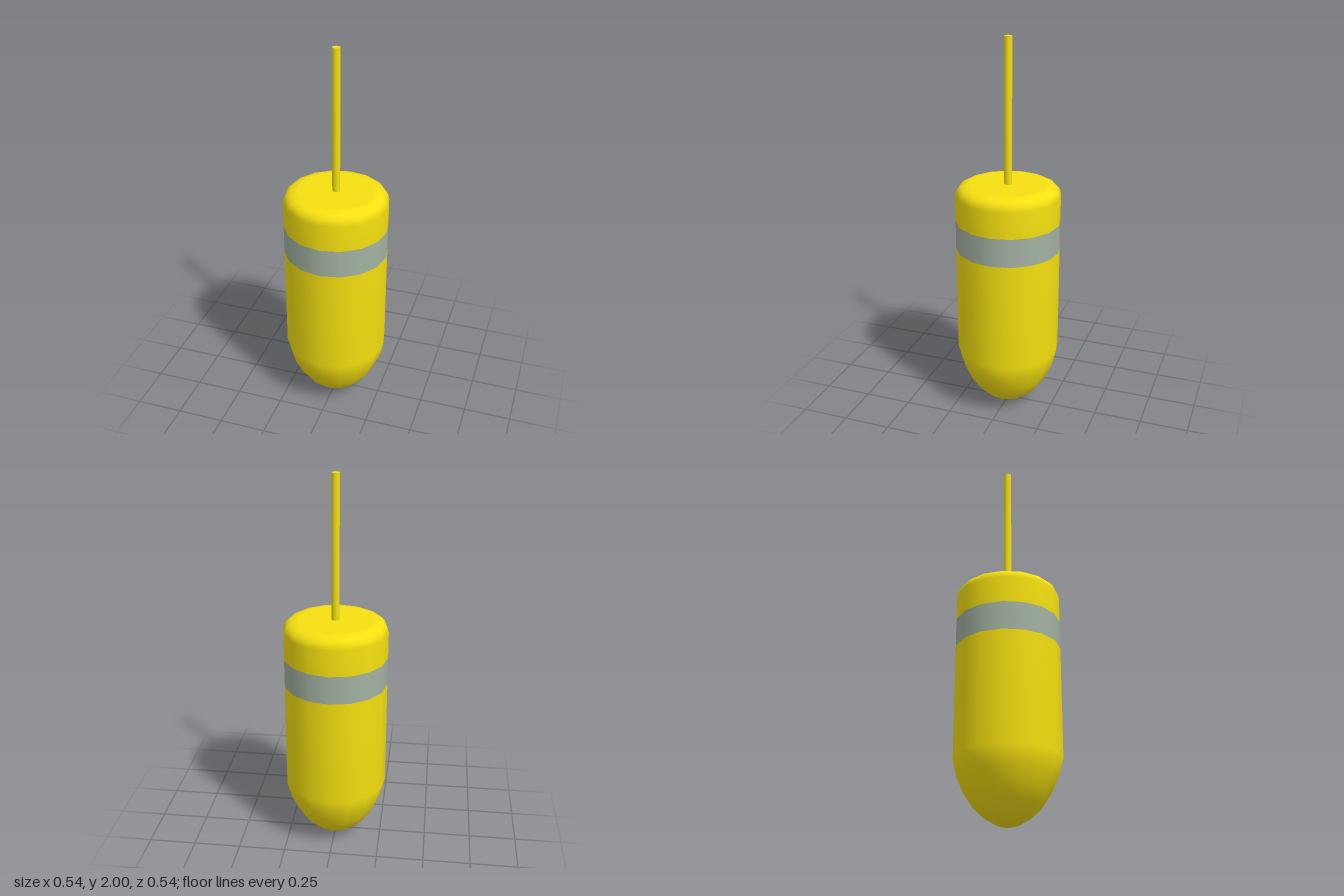
import * as THREE from 'three';

const SIDES = 16;
const R = 0.271;
const yellow = new THREE.MeshStandardMaterial({ color: 0xf5e010 });
const grey = new THREE.MeshStandardMaterial({ color: 0xa2b2a2 });

// Turned part from [radius, height] pairs, listed bottom to top
function turned(name, profile, material) {
  const points = profile.map(([r, y]) => new THREE.Vector2(r, y));
  const mesh = new THREE.Mesh(new THREE.LatheGeometry(points, SIDES), material);
  mesh.name = name;
  return mesh;
}

export function createModel() {
  const model = new THREE.Group();
  model.name = 'float';

  // Rounded, slightly pointed lower body
  model.add(turned('lowerBody', [
    [0, 0], [0.06, 0.018], [0.115, 0.05], [0.168, 0.1], [0.212, 0.165],
    [0.25, 0.25], [R, 0.335], [R, 0.91],
  ], yellow));

  // Painted band, flush with the body
  model.add(turned('band', [[R, 0.91], [R, 1.06]], grey));

  // Upper body with a rounded shoulder
  model.add(turned('upperBody', [
    [R, 1.06], [R, 1.2], [0.263, 1.226], [0.248, 1.243], [0.226, 1.254], [0.2, 1.258],
  ], yellow));

  // Flat top
  const lid = new THREE.Mesh(new THREE.CircleGeometry(0.2, SIDES), yellow);
  lid.name = 'lid';
  lid.rotation.x = -Math.PI / 2;
  lid.position.y = 1.258;
  model.add(lid);

  // Thin rod rising from the top
  const rod = new THREE.Mesh(new THREE.CylinderGeometry(0.02, 0.02, 0.75, SIDES), yellow);
  rod.name = 'rod';
  rod.position.y = 1.625;
  model.add(rod);

  return model;
}
